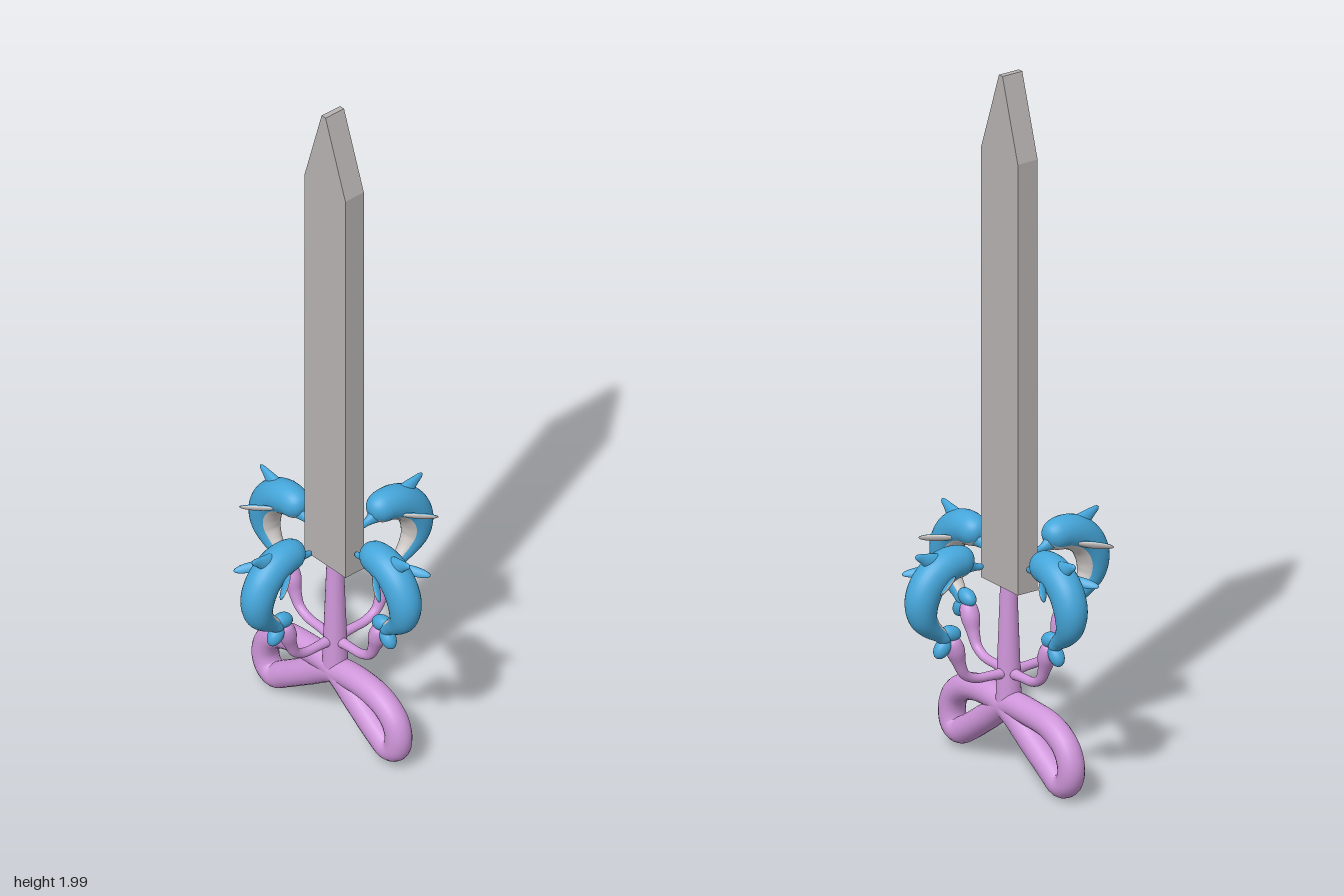
import * as THREE from 'three';

const mat = (name, color) => Object.assign(new THREE.MeshStandardMaterial({ color }), { name });

// Sweep an elliptical section along a planar path of [x, y, radius] points.
// Group 0 is the back, group 1 is the strip on the inner side of the curve.
function sweep(points, flat = 1, rings = 40, sides = 24) {
  const curve = new THREE.CatmullRomCurve3(points.map(p => new THREE.Vector3(...p)));
  const pos = [], index = [];
  for (let i = 0; i <= rings; i++) {
    const t = i / rings, c = curve.getPoint(t), d = curve.getTangent(t);
    const len = Math.hypot(d.x, d.y) || 1;
    const nx = d.y / len, ny = -d.x / len, r = Math.max(c.z, 0.0002);
    for (let j = 0; j < sides; j++) {
      const a = (j / sides) * Math.PI * 2 - Math.PI / 3.6;
      const u = Math.cos(a) * r;
      pos.push(c.x + nx * u, c.y + ny * u, Math.sin(a) * r * flat);
    }
  }
  for (let j = 0; j < sides; j++) {
    const k = (j + 1) % sides;
    for (let i = 0; i < rings; i++) {
      const a = i * sides + j, b = a + sides, c = i * sides + k, d = c + sides;
      index.push(a, b, c, b, d, c);
    }
  }
  const g = new THREE.BufferGeometry();
  g.setAttribute('position', new THREE.Float32BufferAttribute(pos, 3));
  g.setIndex(index);
  g.computeVertexNormals();
  const strip = Math.round(sides * 0.28) * rings * 6;
  g.addGroup(0, strip, 1);
  g.addGroup(strip, index.length - strip, 0);
  return g;
}

export function createModel() {
  const model = new THREE.Group();
  const steel = mat('steel grey', 0xb6b2b1);
  const blue = mat('dolphin blue', 0x45a6da);
  const pale = mat('belly grey', 0xcfcac8);
  const pink = mat('orchid pink', 0xcf96da);

  const add = (parent, name, geo, material) => {
    const m = new THREE.Mesh(geo, material);
    m.name = name;
    parent.add(m);
    return m;
  };

  // Blade: thick slab with a blunt point
  const outline = [[-0.085, 0.54], [0.08, 0.54], [0.08, 1.77], [0, 2], [-0.016, 2], [-0.085, 1.77]];
  const bladeGeo = new THREE.ExtrudeGeometry(
    new THREE.Shape(outline.map(p => new THREE.Vector2(...p))), { depth: 0.065, bevelEnabled: false });
  add(model, 'blade', bladeGeo.translate(0, 0, -0.034), steel);

  // Stem from the loops to the blade
  add(model, 'stem', new THREE.CylinderGeometry(0.022, 0.036, 0.38, 24).translate(0.003, 0.37, 0), pink);

  // Two-loop bow at the foot
  const bow = [
    [0, 0.195], [-0.1, 0.2], [-0.2, 0.187], [-0.258, 0.15], [-0.279, 0.1], [-0.268, 0.058], [-0.237, 0.042],
    [-0.19, 0.068], [-0.1, 0.125], [0, 0.185],
    [0.1, 0.2], [0.19, 0.186], [0.242, 0.15], [0.259, 0.105], [0.25, 0.064], [0.222, 0.052],
    [0.18, 0.073], [0.1, 0.128]];
  const bowCurve = new THREE.CatmullRomCurve3(bow.map(([x, y]) => new THREE.Vector3(x, y, 0)), true);
  add(model, 'bowLoops', new THREE.TubeGeometry(bowCurve, 140, 0.037, 20, true), pink);

  // Shared shapes, with x pointing away from the blade
  const armGeo = sweep([[0, 0.288, 0.017], [0.06, 0.29, 0.013], [0.11, 0.294, 0.013], [0.145, 0.313, 0.014],
    [0.163, 0.35, 0.018], [0.176, 0.39, 0.026], [0.188, 0.42, 0.02], [0.192, 0.432, 0]]);
  const bodyGeo = sweep([[0.123, 0.635, 0], [0.128, 0.636, 0.022], [0.148, 0.639, 0.04], [0.19, 0.64, 0.047],
    [0.23, 0.626, 0.049], [0.265, 0.595, 0.049], [0.284, 0.55, 0.047], [0.28, 0.505, 0.04],
    [0.258, 0.472, 0.03], [0.228, 0.446, 0.021], [0.203, 0.424, 0.016], [0.198, 0.42, 0]], 0.95, 60, 28);
  const beakGeo = sweep([[0.085, 0.606, 0], [0.088, 0.607, 0.007], [0.115, 0.613, 0.012], [0.15, 0.625, 0.028]], 0.85, 16);
  const dorsalGeo = sweep([[0.225, 0.645, 0.03], [0.255, 0.66, 0.023], [0.28, 0.673, 0.014],
    [0.3, 0.682, 0.007], [0.306, 0.684, 0]], 0.65, 20);
  const finTop = new THREE.SphereGeometry(1, 20, 8, 0, Math.PI * 2, 0, Math.PI / 2);
  const finUnder = new THREE.SphereGeometry(1, 20, 8, 0, Math.PI * 2, Math.PI / 2, Math.PI / 2);
  const flukeGeo = new THREE.SphereGeometry(1, 20, 14);

  function makeDolphin() {
    const d = new THREE.Group();
    d.name = 'dolphin';
    add(d, 'body', bodyGeo, [blue, pale]);
    add(d, 'beak', beakGeo, [blue, pale]);
    add(d, 'dorsalFin', dorsalGeo, blue);

    // Side fins, blue inside and pale outside
    for (const s of [-1, 1]) {
      const root = new THREE.Vector3(0.2, 0.615, 0.034 * s);
      const tip = new THREE.Vector3(0.285, 0.6, 0.091 * s);
      const x = tip.clone().sub(root), half = x.length() / 2;
      x.normalize();
      const z = x.clone().cross(new THREE.Vector3(0, 0.6, -0.8 * s)).normalize();
      const y = z.clone().cross(x);
      const fin = new THREE.Group();
      fin.name = s > 0 ? 'finA' : 'finB';
      fin.quaternion.setFromRotationMatrix(new THREE.Matrix4().makeBasis(x, y, z));
      fin.position.copy(root).add(tip).multiplyScalar(0.5);
      fin.scale.set(half, 0.007, 0.014);
      add(fin, 'finInside', finTop, blue);
      add(fin, 'finOutside', finUnder, pale);
      d.add(fin);
    }

    // Tail flukes
    for (const [px, py, tilt] of [[0.19, 0.44, 0.35], [0.217, 0.404, -0.9]]) {
      const fluke = add(d, 'tailFluke', flukeGeo, blue);
      fluke.position.set(px, py, 0);
      fluke.rotation.z = tilt;
      fluke.scale.set(0.032, 0.022, 0.021);
    }
    return d;
  }

  // Four arms, each carrying a dolphin that faces the blade
  for (const [name, turn] of [['left', 0], ['back', 89], ['right', 179], ['front', 273]]) {
    const branch = new THREE.Group();
    branch.name = name + 'Branch';
    branch.rotation.y = THREE.MathUtils.degToRad(turn);
    add(branch, 'arm', armGeo, [pink, pink]);
    branch.add(makeDolphin());
    model.add(branch);
  }
  return model;
}
